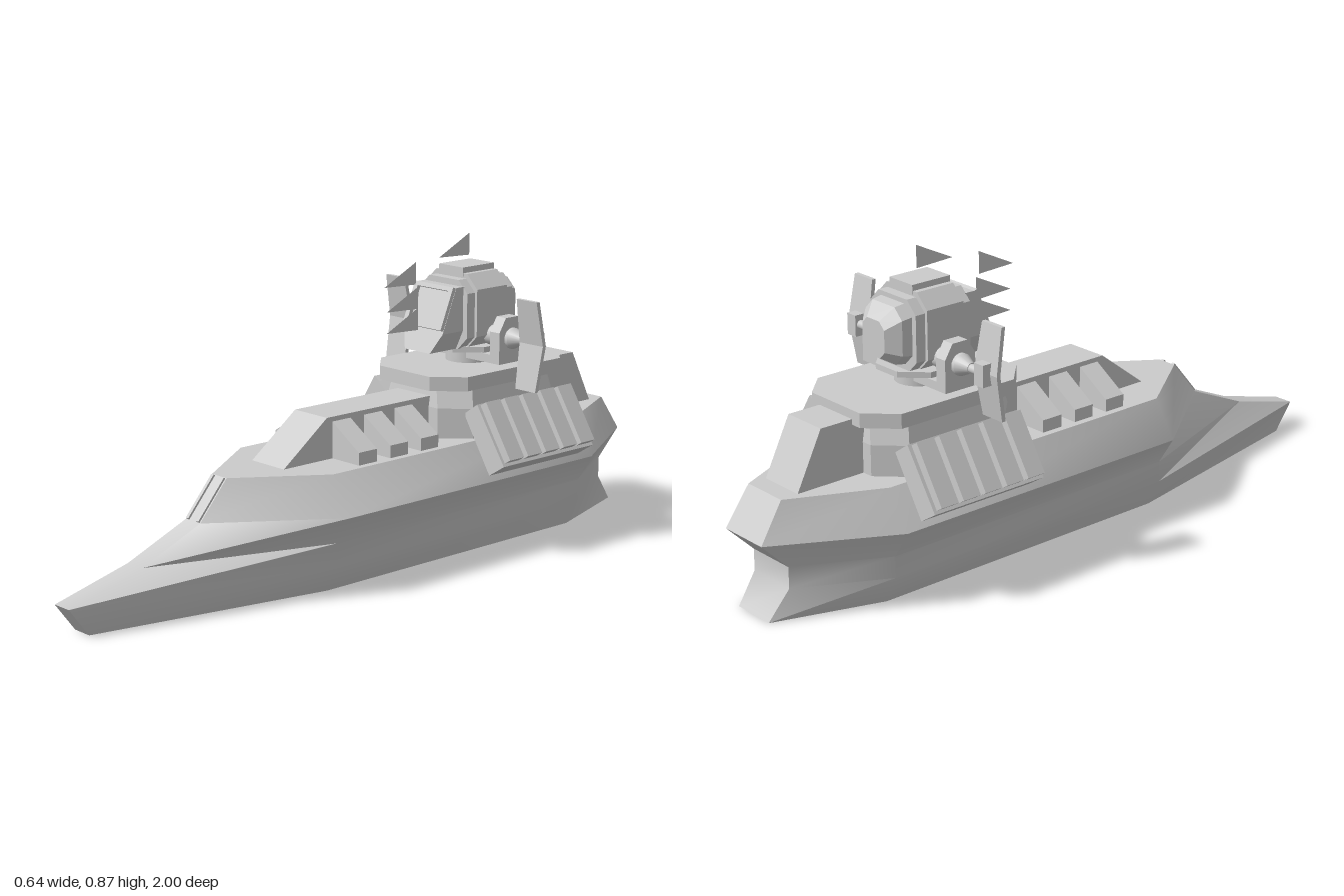
import * as THREE from 'three';
import { toCreasedNormals } from 'three/addons/utils/BufferGeometryUtils.js';

const material = new THREE.MeshStandardMaterial({ color: 0xcccccc });
const flat = new THREE.MeshStandardMaterial({ color: 0xcccccc, flatShading: true });
const thin = new THREE.MeshStandardMaterial({ color: 0xcccccc, side: THREE.DoubleSide });

// Closed skin through rings of equal point count, with end caps.
function loft(rings) {
  const out = [];
  const tri = (...points) => points.forEach((p) => out.push(...p));
  const n = rings[0].length;
  for (let r = 0; r + 1 < rings.length; r++) {
    for (let i = 0; i < n; i++) {
      const j = (i + 1) % n, a = rings[r], b = rings[r + 1];
      tri(a[i], a[j], b[j]);
      tri(a[i], b[j], b[i]);
    }
  }
  const first = rings[0], last = rings[rings.length - 1];
  for (let i = 1; i + 1 < n; i++) {
    tri(first[0], first[i + 1], first[i]);
    tri(last[0], last[i], last[i + 1]);
  }
  const g = new THREE.BufferGeometry();
  g.setAttribute('position', new THREE.Float32BufferAttribute(out, 3));
  g.computeVertexNormals();
  return g;
}

const shapeOf = (points) => new THREE.Shape(points.map(([x, y]) => new THREE.Vector2(x, y)));

// Front profile (x, y) pulled from z0 to z1.
function prism(points, z0, z1) {
  return new THREE.ExtrudeGeometry(shapeOf(points), { depth: z1 - z0, bevelEnabled: false }).translate(0, 0, z0);
}

// Side profile (z, y) pulled across the centreline.
function sideProfile(points, halfWidth) {
  return prism(points, -halfWidth, halfWidth).rotateY(-Math.PI / 2);
}

// Deck plan: pairs of [half width, z] from bow to stern, at height y.
function planRing(half, y) {
  const port = half.map(([x, z]) => [x, y, z]);
  return [...port, ...half.map(([x, z]) => [-x, y, z]).reverse()];
}

// Chamfered rectangle facing +z.
function headRing(w, y0, y1, c, z) {
  const half = [[w - c, y0], [w, y0 + c], [w, y1 - c], [w - c, y1]];
  return [...half, ...half.map(([x, y]) => [-x, y]).reverse()].map(([x, y]) => [x, y, z]);
}

export function createModel() {
  const ship = new THREE.Group();
  const add = (name, geometry, mat = flat, parent = ship) => {
    const mesh = new THREE.Mesh(geometry, mat);
    mesh.name = name;
    parent.add(mesh);
    return mesh;
  };
  const box = (name, w, h, d, x, y, z, parent) =>
    add(name, new THREE.BoxGeometry(w, h, d).translate(x, y, z), flat, parent);

  // Hull: height, half width, stern z, bow z, stern half width
  const levels = [
    [0, 0.165, -0.98, 0.94, 0.065],
    [0.08, 0.205, -0.92, 1, 0.075],
    [0.14, 0.205, -0.92, 0.77, 0.075],
    [0.22, 0.257, -1, 0.58, 0.077],
    [0.325, 0.19, -0.93, 0.49, 0.07],
  ];
  const hull = loft(levels.map(([y, w, stern, bow, sw]) =>
    planRing([[0.03, bow], [w, 0.26], [w, -0.68], [sw, stern]], y)));
  add('hull', toCreasedNormals(hull, 0.7), material);

  // Rails framing the chute on the bow
  for (const s of [-1, 1]) {
    const rail = box('bowRail', 0.01, 0.135, 0.012, s * 0.021, 0, 0);
    rail.position.set(0, 0.272, 0.535);
    rail.rotation.x = -Math.atan2(0.09, 0.105);
  }

  // Deckhouses
  add('foreDeckhouse', sideProfile([[0.33, 0.32], [0.17, 0.44], [-0.3, 0.44], [-0.3, 0.32]], 0.065));
  add('aftDeckhouse', sideProfile([[-0.6, 0.32], [-0.6, 0.48], [-0.8, 0.48], [-0.88, 0.32]], 0.068));

  // Octagonal gun deck on a narrower base
  const octagon = (w, d, c, y) => planRing([[w - c, -0.44 + d], [w, -0.44 + d - c], [w, -0.44 - d + c], [w - c, -0.44 - d]], y);
  add('gunDeckBase', loft([octagon(0.17, 0.23, 0.07, 0.32), octagon(0.17, 0.23, 0.07, 0.41), octagon(0.155, 0.22, 0.07, 0.47)]));
  add('gunDeck', loft([octagon(0.175, 0.262, 0.075, 0.465), octagon(0.175, 0.262, 0.075, 0.505)]));

  for (const s of [-1, 1]) {
    const mirrored = (points) => points.map(([x, y]) => [s * x, y]);

    // Sloped vents beside the fore deckhouse
    for (const z of [-0.112, 0.003, 0.118]) {
      add('sideVent', prism(mirrored([[0.06, 0.32], [0.17, 0.32], [0.17, 0.36], [0.06, 0.43]]), z - 0.033, z + 0.033));
    }

    // Tilted launcher with five slats
    add('launcherBody', prism(mirrored([[0.2, 0.43], [0.305, 0.272], [0.25, 0.237], [0.15, 0.395]]), -0.63, -0.265));
    for (let i = 0; i < 5; i++) {
      const z = -0.302 - i * 0.0725;
      add('launcherSlat', prism(mirrored([[0.225, 0.44], [0.32, 0.292], [0.299, 0.279], [0.204, 0.427]]), z - 0.028, z + 0.028));
    }
  }

  // Turret mount
  const turret = new THREE.Group();
  turret.name = 'turret';
  ship.add(turret);
  add('turretNeck', new THREE.CylinderGeometry(0.065, 0.065, 0.06, 24).translate(0, 0.53, -0.43), material, turret);
  box('yoke', 0.34, 0.024, 0.1, 0, 0.532, -0.43, turret);
  add('turretDisc', new THREE.CylinderGeometry(0.115, 0.115, 0.016, 8).rotateY(Math.PI / 8).translate(0, 0.552, -0.43), flat, turret);

  // Turret head: core, raised band, roof cap, tapered rear
  add('headCore', loft([headRing(0.093, 0.555, 0.752, 0.035, -0.51), headRing(0.093, 0.555, 0.752, 0.035, -0.33)]), flat, turret);
  add('headBand', loft([headRing(0.102, 0.552, 0.766, 0.04, -0.48), headRing(0.102, 0.552, 0.766, 0.04, -0.36)]), flat, turret);
  add('headRear', loft([headRing(0.045, 0.6, 0.7, 0.02, -0.575), headRing(0.075, 0.58, 0.735, 0.03, -0.54), headRing(0.078, 0.575, 0.74, 0.03, -0.505)]), flat, turret);
  box('headCap', 0.094, 0.025, 0.125, 0, 0.77, -0.42, turret);

  // Sloping cowl and framed window
  const slope = 0.42;
  const cowl = [[0.05, 0.555], [0.077, 0.61], [0.077, 0.735], [-0.077, 0.735], [-0.077, 0.61], [-0.05, 0.555]];
  add('cowl', loft([
    cowl.map(([x, y]) => [x, y, -0.335]),
    cowl.map(([x, y]) => [x, y, -0.225 - (y - 0.55) * slope]),
  ]), flat, turret);
  const frame = shapeOf([[-0.076, -0.065], [0.076, -0.065], [0.076, 0.06], [-0.076, 0.06]]);
  frame.holes.push(new THREE.Path([[-0.061, -0.051], [-0.061, 0.048], [0.061, 0.048], [0.061, -0.051]].map(([x, y]) => new THREE.Vector2(x, y))));
  const windowFrame = add('windowFrame', new THREE.ExtrudeGeometry(frame, { depth: 0.012, bevelEnabled: false }), flat, turret);
  windowFrame.position.set(0, 0.678, -0.279);
  windowFrame.rotation.x = -Math.atan(slope);

  // Side arms carrying bent radar panels
  for (const s of [-1, 1]) {
    const arm = new THREE.Group();
    arm.name = s > 0 ? 'leftRadarArm' : 'rightRadarArm';
    turret.add(arm);
    const rod = (name, r0, r1, x0, x1) => add(name,
      new THREE.CylinderGeometry(r1, r0, x1 - x0, 20).rotateZ(-s * Math.PI / 2).translate(s * (x0 + x1) / 2, 0.59, -0.43), material, arm);
    rod('armBarrel', 0.03, 0.03, 0.09, 0.18);
    rod('armTaper', 0.03, 0.014, 0.18, 0.215);
    rod('armTip', 0.012, 0.012, 0.21, 0.265);
    const bracket = [[-0.38, 0.52], [-0.38, 0.61], [-0.405, 0.65], [-0.455, 0.65], [-0.48, 0.61], [-0.48, 0.52]];
    add('armBracket', sideProfile(bracket, 0.018).translate(s * 0.153, 0, 0), flat, arm);
    box('panelMount', 0.035, 0.06, 0.03, s * 0.262, 0.588, -0.432, arm);

    // Panel sections: height, inner x, outer x, z
    const sections = [[0.46, 0.225, 0.3, -0.395], [0.588, 0.218, 0.306, -0.417], [0.714, 0.225, 0.3, -0.395]];
    add('radarPanel', loft(sections.map(([y, a, b, z]) => {
      const lo = s > 0 ? a : -b, hi = s > 0 ? b : -a;
      return [[hi, y, z + 0.005], [hi, y, z - 0.007], [lo, y, z - 0.007], [lo, y, z + 0.005]];
    })), flat, arm);
  }

  // Triangular pennants: front z and lower y of each
  for (const [z, y] of [[-0.31, 0.81], [-0.1, 0.75], [-0.11, 0.68], [-0.11, 0.62]]) {
    const pennant = shapeOf([[z, y], [z - 0.12, y + 0.058], [z - 0.12, y - 0.005]]);
    add('pennant', new THREE.ShapeGeometry(pennant).rotateY(-Math.PI / 2), thin);
  }
  return ship;
}
